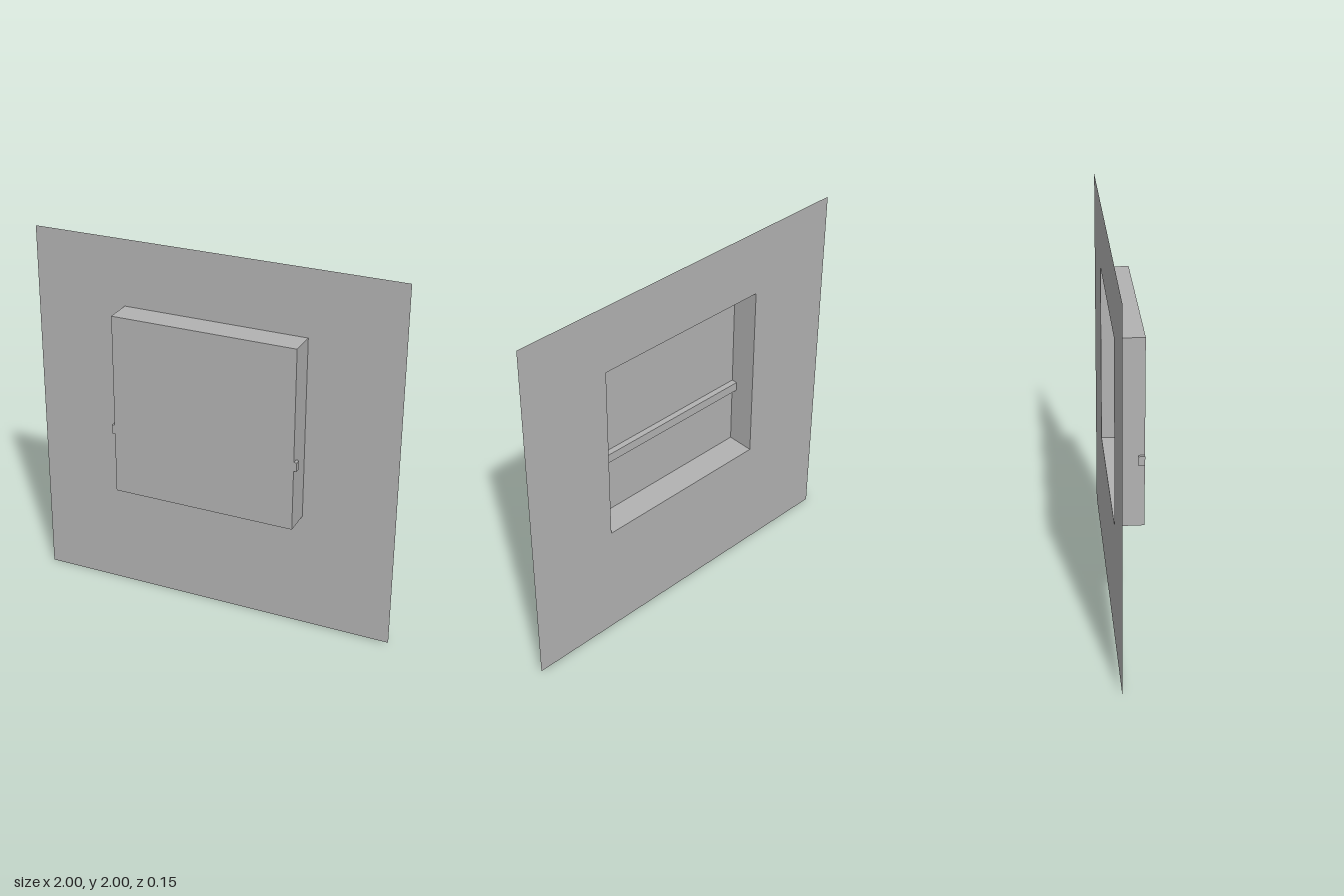
import * as THREE from 'three';

const HALF = 0.5, BOTTOM = 0.643, TOP = 1.64, FRONT = 0.074, BACK = -0.074;
const HEIGHT = TOP - BOTTOM, MID = (TOP + BOTTOM) / 2, DEPTH = FRONT - BACK;

export function createModel() {
  const model = new THREE.Group();
  model.name = 'recessedWallPanel';

  const grey = new THREE.MeshStandardMaterial({ color: 0xb2b2b2, side: THREE.DoubleSide });
  grey.name = 'plain grey';

  const add = (name, geometry, x, y, z, rx = 0, ry = 0) => {
    const mesh = new THREE.Mesh(geometry, grey);
    mesh.name = name;
    mesh.position.set(x, y, z);
    mesh.rotation.set(rx, ry, 0);
    model.add(mesh);
  };

  // Thin wall sheet with a rectangular opening
  const sheet = new THREE.Shape([
    new THREE.Vector2(-1, 0), new THREE.Vector2(1, 0),
    new THREE.Vector2(1, 2), new THREE.Vector2(-1, 2),
  ]);
  sheet.holes.push(new THREE.Path([
    new THREE.Vector2(-HALF, BOTTOM), new THREE.Vector2(-HALF, TOP),
    new THREE.Vector2(HALF, TOP), new THREE.Vector2(HALF, BOTTOM),
  ]));
  add('wallSheet', new THREE.ShapeGeometry(sheet), 0, 0, BACK);

  // Raised box, open at the back
  add('frontPanel', new THREE.PlaneGeometry(2 * HALF, HEIGHT), 0, MID, FRONT);
  for (const s of [-1, 1]) {
    add(s > 0 ? 'leftWall' : 'rightWall',
      new THREE.PlaneGeometry(DEPTH, HEIGHT), s * HALF, MID, 0, 0, s * Math.PI / 2);
    add(s > 0 ? 'topWall' : 'bottomWall',
      new THREE.PlaneGeometry(2 * HALF, DEPTH), 0, s > 0 ? TOP : BOTTOM, 0, -s * Math.PI / 2);
  }

  // Cross bar inside the recess, its ends poking through the side walls
  add('crossBar', new THREE.BoxGeometry(1.032, 0.05, 0.032), 0, 1.004, FRONT - 0.016);

  return model;
}
